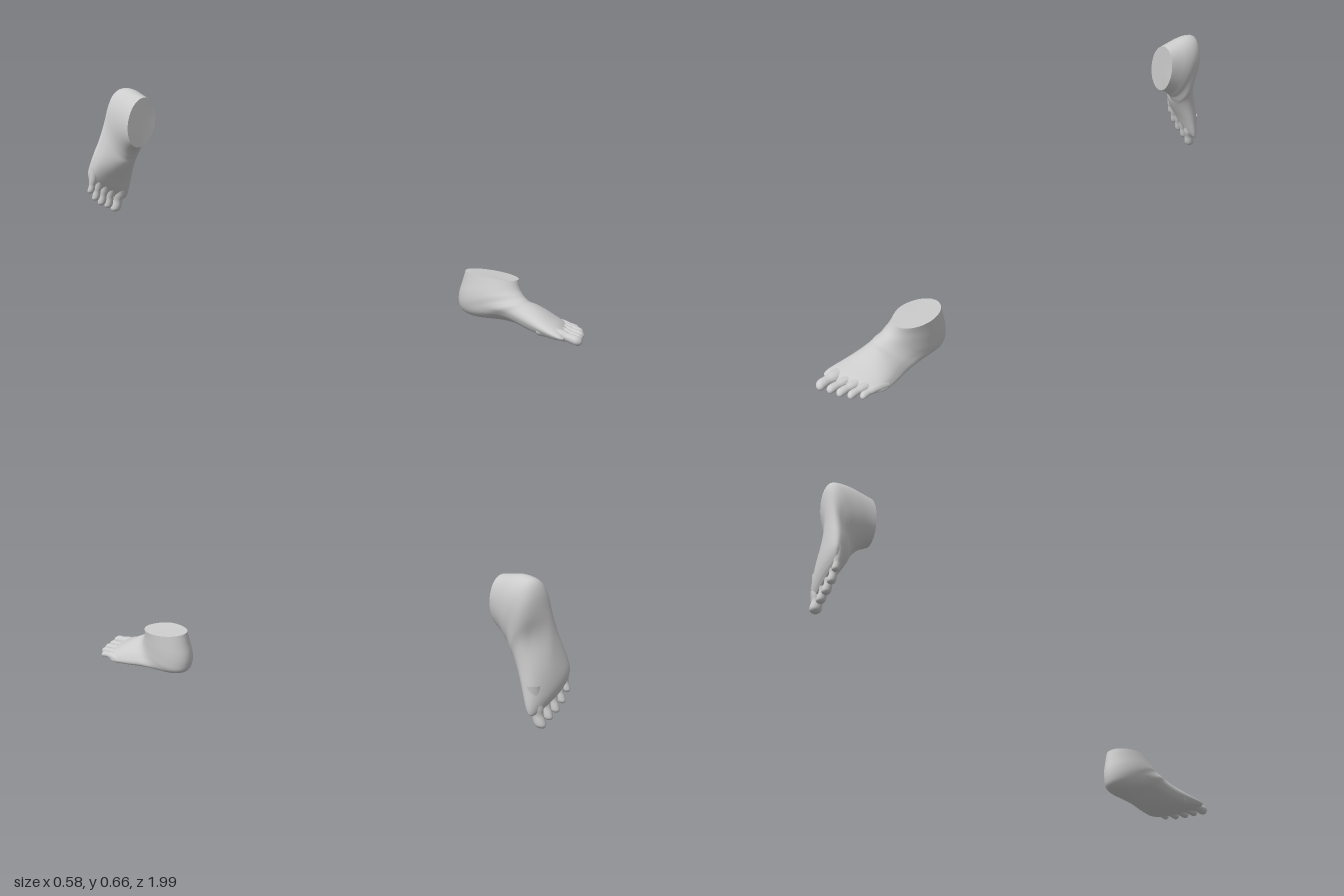
import * as THREE from 'three';

const SIDES = 40;
const CAP_H = 0.172;

// Foot cross-sections from ankle opening, around the heel, to the toe roots.
// [front length, front height, back length, back height, centre, half width, skew, flat sole]
const SECTIONS = [
  [0.213, 0.172, 0.022, 0.172, 0.163, 0.063, 0.014, 0],
  [0.221, 0.155, 0.012, 0.130, 0.158, 0.066, 0.012, 0],
  [0.231, 0.141, 0.003, 0.090, 0.154, 0.069, 0.012, 0],
  [0.243, 0.131, 0.003, 0.055, 0.152, 0.070, 0.011, 0.1],
  [0.254, 0.123, 0.014, 0.027, 0.153, 0.069, 0.009, 0.2],
  [0.264, 0.118, 0.050, 0.014, 0.155, 0.068, 0.006, 0.5],
  [0.275, 0.112, 0.110, 0.013, 0.161, 0.068, 0.000, 0.8],
  [0.291, 0.106, 0.180, 0.015, 0.176, 0.071, -0.006, 0.9],
  [0.320, 0.092, 0.250, 0.014, 0.190, 0.078, -0.012, 0.9],
  [0.358, 0.073, 0.330, 0.011, 0.198, 0.085, -0.014, 0.9],
  [0.387, 0.061, 0.375, 0.012, 0.200, 0.086, -0.010, 0.7],
  [0.406, 0.051, 0.403, 0.017, 0.201, 0.082, -0.006, 0.4],
  [0.418, 0.043, 0.416, 0.022, 0.201, 0.073, 0.000, 0],
];

// Toes: base [across, length, height], tip [across, length, height], root radius, tip radius
const TOES = [
  { name: 'bigToe', base: [0.143, 0.355, 0.036], tip: [0.165, 0.504, 0.029], root: 0.028, end: 0.0185 },
  { name: 'secondToe', base: [0.190, 0.350, 0.037], tip: [0.198, 0.483, 0.029], root: 0.017, end: 0.0148 },
  { name: 'middleToe', base: [0.219, 0.335, 0.037], tip: [0.230, 0.465, 0.030], root: 0.017, end: 0.0145 },
  { name: 'fourthToe', base: [0.246, 0.320, 0.036], tip: [0.259, 0.440, 0.031], root: 0.016, end: 0.0138 },
  { name: 'littleToe', base: [0.268, 0.300, 0.034], tip: [0.281, 0.406, 0.031], root: 0.016, end: 0.0125 },
];

// Smooth interpolation through the section table
function sectionAt(t) {
  const n = SECTIONS.length - 1;
  const i = Math.min(Math.floor(t * n), n - 1);
  const f = t * n - i;
  const row = (k) => SECTIONS[Math.max(0, Math.min(n, k))];
  return SECTIONS[0].map((_, c) => {
    const [a, b, d, e] = [row(i - 1)[c], row(i)[c], row(i + 1)[c], row(i + 2)[c]];
    return b + 0.5 * f * (d - a + f * (2 * a - 5 * b + 4 * d - e + f * (3 * (b - d) + e - a)));
  });
}

// Rings are lists of [across, height, length]
function bodyRings() {
  const rings = [];
  const steps = 60;
  for (let i = 0; i <= steps; i++) {
    const t = i / steps;
    const [fw, fh, bw, bh, uc, half, skew, flat] = sectionAt(t);
    const slant = -0.55 * THREE.MathUtils.smoothstep(t, 0.55, 0.92);
    const ring = [];
    for (let j = 0; j < SIDES; j++) {
      const a = (j / SIDES) * Math.PI * 2;
      let c = Math.cos(a);
      if (c < 0) c = -Math.pow(-c, 1 - 0.4 * flat);
      const k = (1 + c) / 2;
      const u = uc + half * Math.sin(a) + skew * c;
      const w = bw + (fw - bw) * k + slant * (u - 0.2);
      let h = bh + (fh - bh) * k;
      // inner arch of the sole
      h += 0.018 * Math.exp(-(((w - 0.21) / 0.07) ** 2)) * (1 - k) * THREE.MathUtils.clamp((0.19 - u) / 0.06, 0, 1);
      ring.push([u, h, w]);
    }
    rings.push(ring);
  }
  // rounded closure at the front, between the toes
  const last = rings[rings.length - 1];
  const mid = centre(last);
  for (const [s, dw] of [[0.85, 0.005], [0.5, 0.008], [0, 0.009]]) {
    rings.push(last.map((p) => p.map((v, c) => {
      const along = c === 2 ? dw : 0;
      return mid[c] + (v - mid[c]) * s + along;
    })));
  }
  return rings;
}

function toeRings({ base, tip, root, end }) {
  const rings = [];
  const length = tip[1] - base[1];
  const round = end / length;
  const steps = 30;
  for (let i = 0; i <= steps; i++) {
    const t = Math.sin((i / steps) * Math.PI / 2);
    // tapering shank, slim neck, bulbous rounded tip
    let r = THREE.MathUtils.lerp(root, end, THREE.MathUtils.smoothstep(t, 0.2, 0.75));
    r *= 1 - 0.1 * Math.exp(-(((t - 0.68) / 0.09) ** 2));
    if (t > 1 - round) r *= Math.sqrt(Math.max(0, 1 - ((t - 1 + round) / round) ** 2));
    const [u, w, h] = base.map((v, c) => v + (tip[c] - v) * t);
    const lift = 0.005 * Math.sin(t * Math.PI);
    const ring = [];
    for (let j = 0; j < 24; j++) {
      const a = (j / 24) * Math.PI * 2;
      ring.push([u + r * Math.sin(a), h + lift + Math.min(r * 0.9, 0.019) * Math.cos(a), w]);
    }
    rings.push(ring);
  }
  return rings;
}

function centre(ring) {
  return [0, 1, 2].map((c) => ring.reduce((s, p) => s + p[c], 0) / ring.length);
}

// Pose: roll toward the outer edge, optional drop of the forefoot, mirroring
function pose([u, h, w], side, drop) {
  const below = THREE.MathUtils.clamp(1 - h / CAP_H, 0, 1);
  return [side * u, h - 0.1 * (u - 0.17) - drop * w * below, w];
}

function makeGeometry(points, index, side) {
  const geometry = new THREE.BufferGeometry();
  geometry.setAttribute('position', new THREE.Float32BufferAttribute(points.flat(), 3));
  if (side < 0) index.reverse();
  geometry.setIndex(index);
  geometry.computeVertexNormals();
  return geometry;
}

function loft(rings, side, drop) {
  const n = rings[0].length;
  const index = [];
  for (let i = 0; i < rings.length - 1; i++) {
    for (let j = 0; j < n; j++) {
      const a = i * n + j;
      const b = i * n + ((j + 1) % n);
      index.push(a, a + n, b, b, a + n, b + n);
    }
  }
  return makeGeometry(rings.flat().map((p) => pose(p, side, drop)), index, side);
}

// Flat face closing the ankle
function capGeometry(ring, side, drop) {
  const points = [...ring, centre(ring)].map((p) => pose(p, side, drop));
  const index = [];
  for (let j = 0; j < ring.length; j++) index.push(j, (j + 1) % ring.length, ring.length);
  return makeGeometry(points, index, side);
}

function makeFoot(name, side, drop, material) {
  const foot = new THREE.Group();
  foot.name = name;
  const add = (part, geometry) => {
    const mesh = new THREE.Mesh(geometry, material);
    mesh.name = part;
    foot.add(mesh);
  };
  const rings = bodyRings();
  add('footBody', loft(rings, side, drop));
  add('ankleCap', capGeometry(rings[0], side, drop));
  for (const toe of TOES) add(toe.name, loft(toeRings(toe), side, drop));
  return foot;
}

export function createModel() {
  const model = new THREE.Group();
  model.name = 'feet';
  const material = new THREE.MeshStandardMaterial({ color: 0xcccccc, side: THREE.DoubleSide });

  // Left foot stands flat at the front
  const left = makeFoot('leftFoot', 1, 0, material);
  left.rotation.y = -0.07;
  left.position.set(0.025, 0, 0.482);

  // Right foot hangs at the back, toes down and sole to the rear
  const right = makeFoot('rightFoot', -1, 0.08, material);
  right.rotation.x = Math.PI / 2;
  right.position.set(0, 0.667, -0.972);

  model.add(left, right);
  return model;
}
